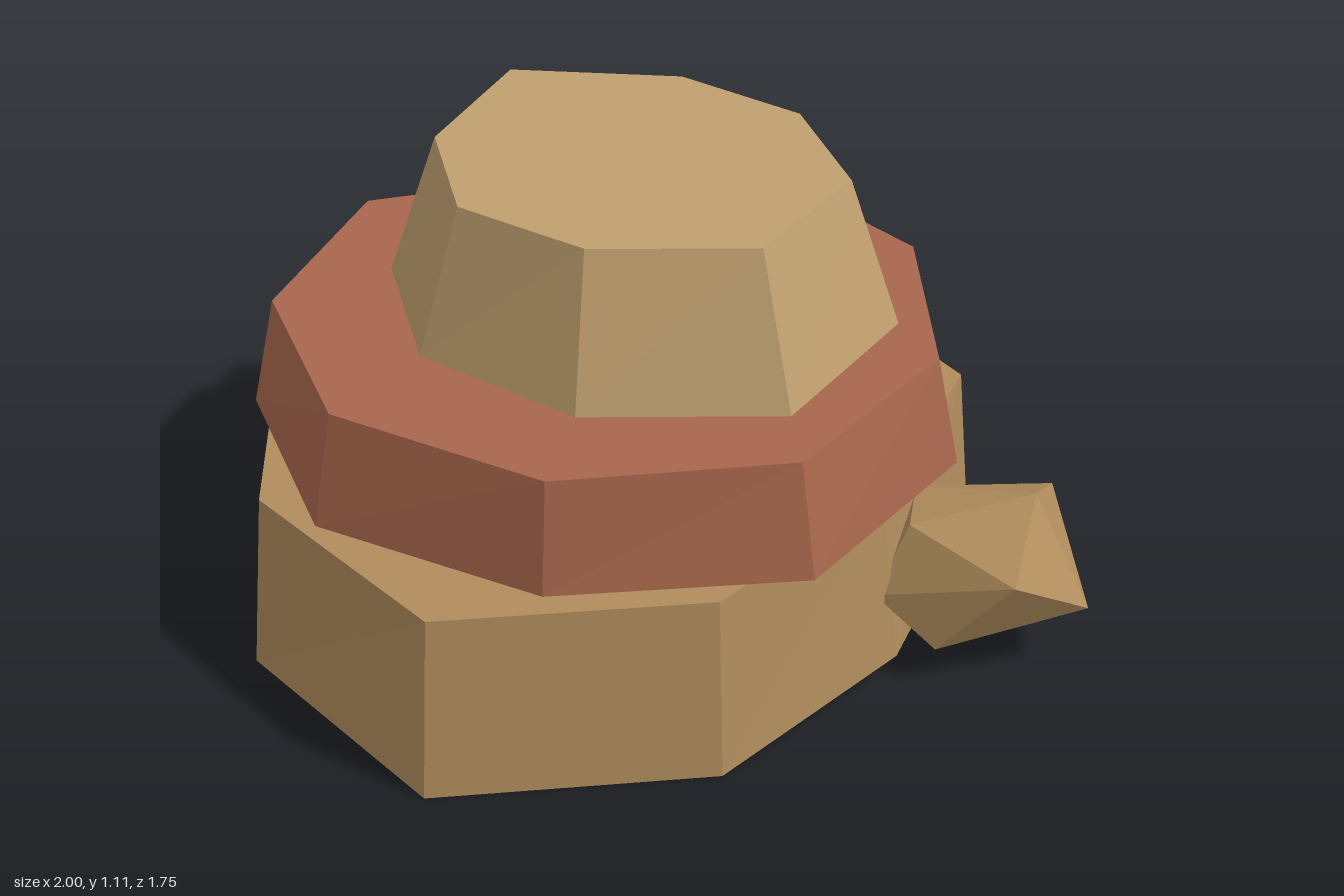
import * as THREE from 'three';
import { ConvexGeometry } from 'three/addons/geometries/ConvexGeometry.js';

// One rock slab: two matching irregular rings of [x, z], joined by walls and capped
function slab(name, color, y0, y1, bottom, top) {
  const pos = [];
  const n = bottom.length;
  const b = (i) => [bottom[i % n][0], y0, bottom[i % n][1]];
  const t = (i) => [top[i % n][0], y1, top[i % n][1]];
  const tri = (...corners) => corners.forEach((c) => pos.push(...c));
  for (let i = 0; i < n; i++) {
    tri(b(i), b(i + 1), t(i + 1));
    tri(b(i), t(i + 1), t(i));
  }
  for (let i = 1; i < n - 1; i++) {
    tri(t(0), t(i), t(i + 1));
    tri(b(0), b(i + 1), b(i));
  }
  const geo = new THREE.BufferGeometry();
  geo.setAttribute('position', new THREE.Float32BufferAttribute(pos, 3));
  geo.computeVertexNormals();
  return makeMesh(name, geo, color);
}

function makeMesh(name, geo, color) {
  const mesh = new THREE.Mesh(geo, new THREE.MeshStandardMaterial({ color, flatShading: true }));
  mesh.name = name;
  return mesh;
}

export function createModel() {
  const group = new THREE.Group();
  group.name = 'layeredRock';

  // Wide nine-sided base
  group.add(slab('baseLayer', 0xb08c5c, 0, 0.455,
    [[-1, 0.27], [-0.64, 0.85], [0.04, 0.875], [0.54, 0.49], [0.86, -0.05],
      [0.59, -0.645], [0.02, -0.88], [-0.595, -0.865], [-0.94, -0.34]],
    [[-0.96, 0.26], [-0.615, 0.805], [0.035, 0.83], [0.49, 0.47], [0.815, -0.05],
      [0.565, -0.615], [0.02, -0.84], [-0.57, -0.825], [-0.9, -0.325]]));

  // Red layer, slightly turned and overhanging the base
  group.add(slab('redLayer', 0xa8664c, 0.455, 0.735,
    [[-0.955, -0.2], [-0.835, 0.39], [-0.35, 0.75], [0.26, 0.78], [0.7, 0.35],
      [0.78, -0.24], [0.47, -0.76], [-0.1, -0.82], [-0.67, -0.74]],
    [[-0.895, -0.195], [-0.785, 0.36], [-0.335, 0.715], [0.235, 0.725], [0.645, 0.33],
      [0.72, -0.23], [0.435, -0.71], [-0.1, -0.77], [-0.63, -0.7]]));

  // Eight-sided cap
  group.add(slab('capLayer', 0xbf9f6e, 0.735, 1.105,
    [[-0.595, -0.32], [-0.56, 0.13], [-0.235, 0.46], [0.25, 0.53],
      [0.59, 0.15], [0.53, -0.32], [0.225, -0.65], [-0.31, -0.79]],
    [[-0.475, -0.28], [-0.455, 0.1], [-0.195, 0.35], [0.2, 0.41],
      [0.47, 0.105], [0.425, -0.275], [0.175, -0.54], [-0.25, -0.65]]));

  // Small boulder leaning against the base
  const boulder = [
    [0.755, 0.32, 0.7], [0.885, 0.385, 0.41], [0.995, 0.27, 0.2], [0.97, 0.18, 0.61],
    [0.94, 0.055, 0.33], [0.6, 0.1, 0.61], [0.6, 0.025, 0.39], [0.72, 0.16, 0.18],
    [0.68, 0.11, 0.2], [0.48, 0.18, 0.48], [0.57, 0.34, 0.43], [0.63, 0.33, 0.25],
  ].map((p) => new THREE.Vector3(...p));
  group.add(makeMesh('boulder', new ConvexGeometry(boulder), 0xb08c5c));

  return group;
}
